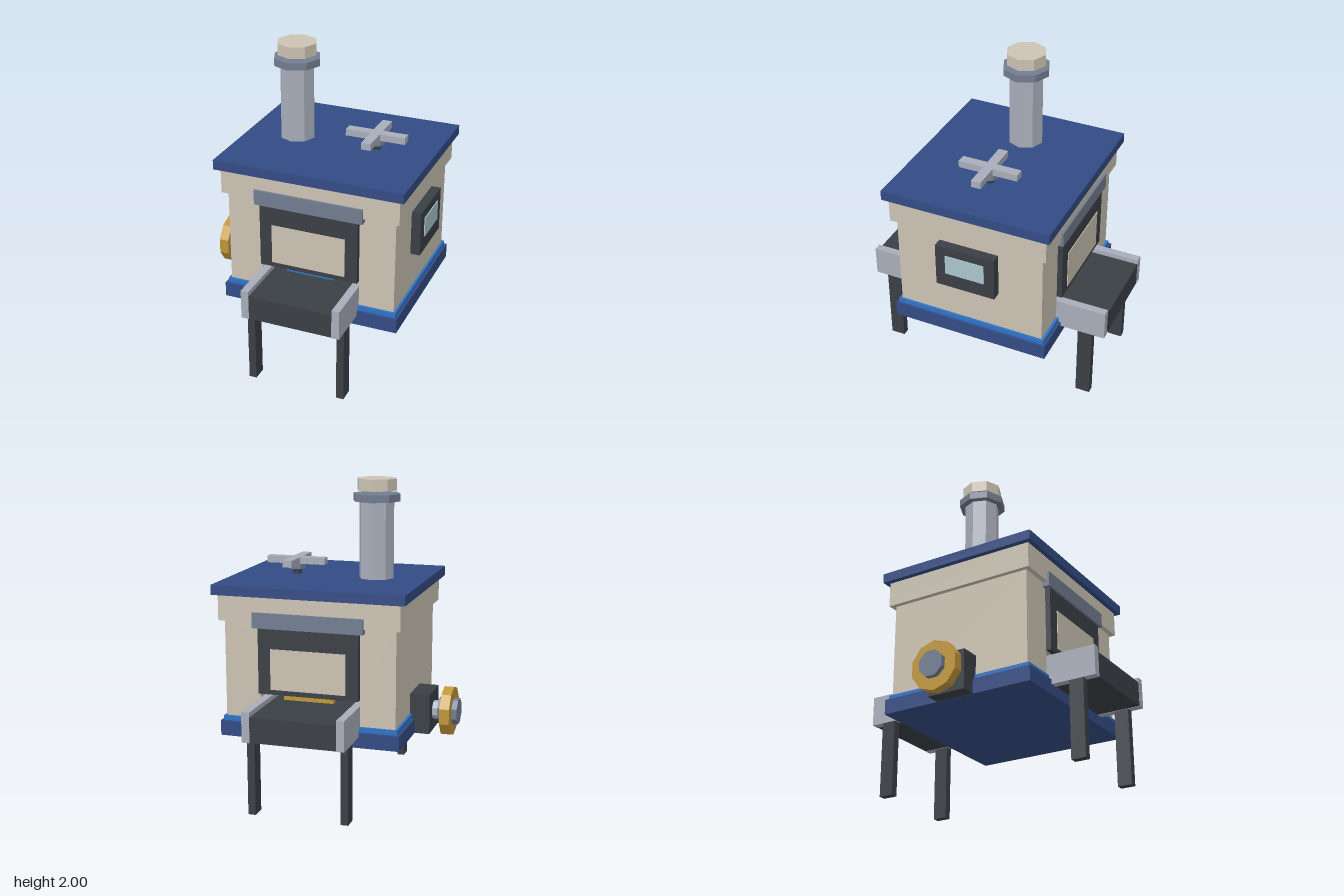
import * as THREE from 'three';

const mat = (name, color) => new THREE.MeshStandardMaterial({ name, color });

export function createModel() {
  const cream = mat('cream', 0xcbc3b3), navy = mat('navy', 0x334b84), blue = mat('bright blue', 0x2f72c4);
  const dark = mat('dark iron', 0x3a3f45), light = mat('light steel', 0xa8adb9), steel = mat('steel', 0x727d90);
  const gold = mat('gold', 0xbf9638), glass = mat('glass', 0xa9c4cc);
  const model = new THREE.Group();
  const CX = 0.107; // middle of the house in x

  const add = (name, geometry, material) => {
    const mesh = new THREE.Mesh(geometry, material);
    mesh.name = name;
    model.add(mesh);
    return mesh;
  };
  // box given by its limits on each axis
  const box = (name, material, x0, x1, y0, y1, z0, z1) => {
    const mesh = add(name, new THREE.BoxGeometry(x1 - x0, y1 - y0, z1 - z0), material);
    mesh.position.set((x0 + x1) / 2, (y0 + y1) / 2, (z0 + z1) / 2);
    return mesh;
  };
  // faceted upright cylinder
  const post = (name, material, x, y0, y1, r, sides = 8) => {
    const geometry = new THREE.CylinderGeometry(r, r, y1 - y0, sides).toNonIndexed();
    geometry.computeVertexNormals();
    add(name, geometry, material).position.set(x, (y0 + y1) / 2, 0);
  };
  // faceted cylinder lying along x
  const axle = (name, material, x0, x1, r, sides, turn) => {
    const geometry = new THREE.CylinderGeometry(r, r, x1 - x0, sides, 1, false, turn)
      .rotateZ(Math.PI / 2).toNonIndexed();
    geometry.computeVertexNormals();
    add(name, geometry, material).position.set((x0 + x1) / 2, 0.548, 0);
  };

  // base and trim
  box('base', navy, -0.468, 0.682, 0.42, 0.515, -0.512, 0.512);
  box('baseTrim', blue, -0.452, 0.667, 0.515, 0.545, -0.497, 0.497);

  // walls with a tunnel for the conveyor
  const wall = new THREE.Shape([
    [-0.437, 0.5], [-0.215, 0.5], [-0.215, 0.71], [0.425, 0.71], [0.425, 0.5],
    [0.652, 0.5], [0.652, 1.16], [-0.437, 1.16],
  ].map(([x, y]) => new THREE.Vector2(x, y)));
  add('walls', new THREE.ExtrudeGeometry(wall, { depth: 0.96, bevelEnabled: false }).translate(0, 0, -0.48), cream);

  // upper band and roof
  box('upperBand', cream, -0.468, 0.682, 1.155, 1.317, -0.512, 0.512);
  box('roof', navy, -0.502, 0.714, 1.317, 1.379, -0.543, 0.543);

  // chimney with a floating cap
  post('chimneyPipe', light, -0.18, 1.37, 1.86, 0.111);
  post('chimneyCollar', steel, -0.18, 1.86, 1.907, 0.15);
  post('chimneyCap', cream, -0.18, 1.927, 2, 0.127);

  // roof fan
  post('fanStem', dark, 0.347, 1.37, 1.45, 0.03);
  post('fanHub', steel, 0.347, 1.413, 1.445, 0.055);
  box('fanBladeAcross', light, 0.155, 0.539, 1.445, 1.488, -0.031, 0.031);
  for (const s of [1, -1]) {
    const [a, b] = s > 0 ? [0.031, 0.192] : [-0.192, -0.031];
    box('fanBladeAlong', light, 0.316, 0.378, 1.445, 1.488, a, b);
  }

  // side window
  box('windowFrame', dark, 0.64, 0.713, 0.802, 1.088, -0.194, 0.194);
  box('windowPane', glass, 0.711, 0.719, 0.9, 1.03, -0.128, 0.128);

  // doorway, conveyor end and legs, at front and back
  for (const s of [1, -1]) {
    const span = (name, material, x0, x1, y0, y1, z0, z1) =>
      box(name, material, x0, x1, y0, y1, Math.min(s * z0, s * z1), Math.max(s * z0, s * z1));
    span('doorFrame', dark, -0.213, 0.425, 0.71, 1.17, 0.47, 0.514);
    span('doorPanel', cream, -0.133, 0.345, 0.742, 0.997, 0.512, 0.519);
    span('lintel', steel, -0.243, 0.457, 1.123, 1.219, 0.48, 0.527);
    span('doorStrip', s > 0 ? blue : gold, -0.053, 0.265, 0.68, 0.71, 0.46, s > 0 ? 0.485 : 0.5);
    for (const m of [1, -1]) {
      const x = CX - 0.001 + m * 0.295;
      span('leg', dark, x - 0.024, x + 0.024, 0, 0.487, 0.627, 0.72);
    }
  }

  // conveyor running through the house
  box('conveyorBelt', dark, -0.165, 0.377, 0.487, 0.644, -0.799, 0.799);
  for (const m of [1, -1]) {
    const x = CX - 0.001 + m * 0.295;
    box('conveyorRail', light, x - 0.025, x + 0.025, 0.485, 0.674, -0.8, 0.8);
  }

  // drive box with wheel on the side
  box('driveBox', dark, -0.563, -0.43, 0.421, 0.674, -0.126, 0.126);
  axle('driveShaft', light, -0.61, -0.55, 0.06, 8, Math.PI / 8);
  axle('wheelHub', steel, -0.725, -0.6, 0.085, 8, Math.PI / 8);
  axle('wheel', gold, -0.692, -0.63, 0.158, 10, Math.PI / 2);

  return model;
}
